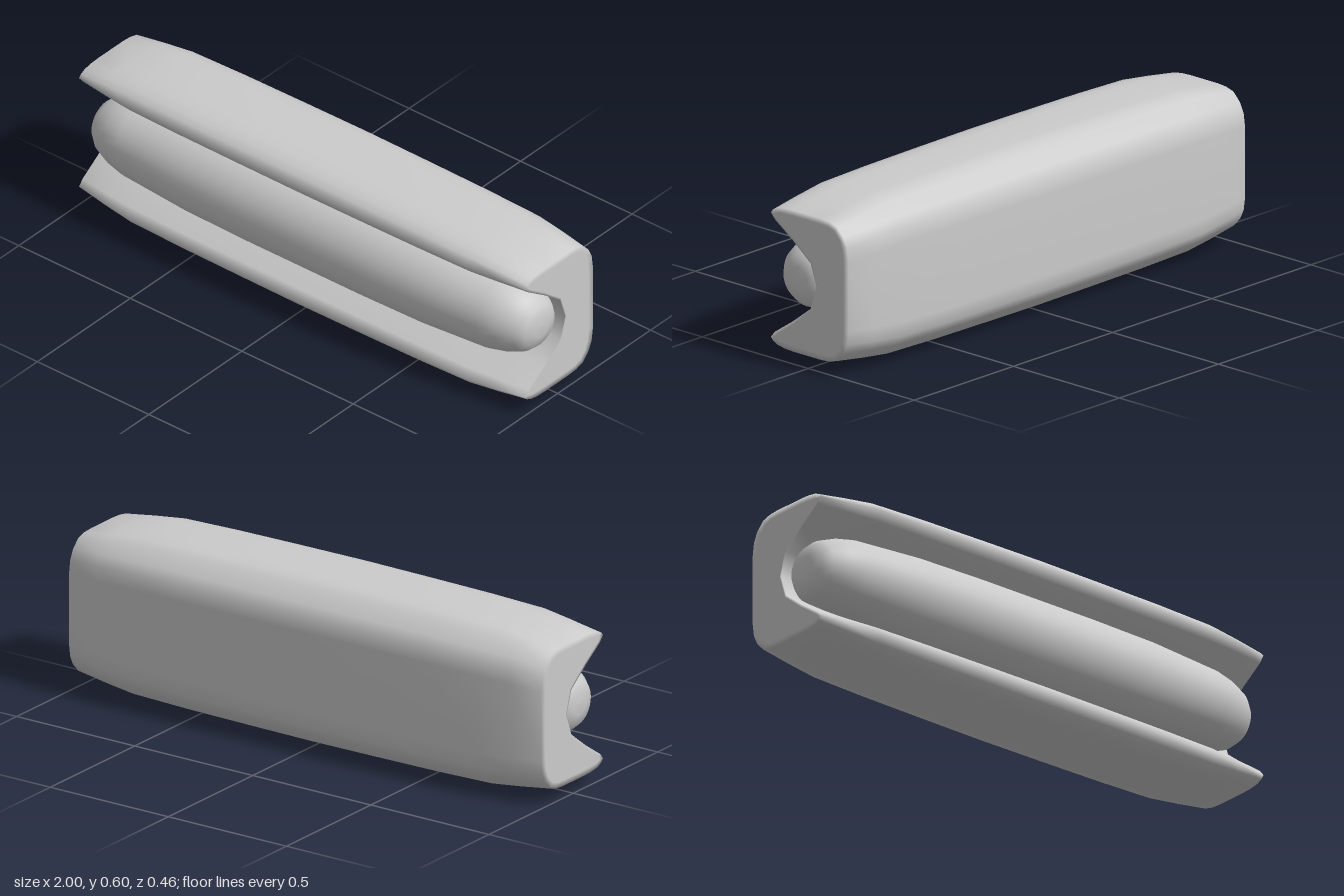
import * as THREE from 'three';

const MID_Y = 0.303;

// Upper halves of the bun section as [z, y]: notch floor, notch wall, lip tip, crown, back
const middle = [[-0.04, MID_Y], [-0.01, 0.385], [0.09, 0.45], [0.195, 0.505], [0.22, 0.54], [0.195, 0.57],
  [0.17, 0.588], [0.13, 0.6], [0.08, 0.605], [-0.07, 0.605], [-0.11, 0.6], [-0.15, 0.585],
  [-0.2, 0.54], [-0.223, 0.505], [-0.23, 0.45]];
const end = [[-0.04, MID_Y], [-0.012, 0.385], [0.072, 0.45], [0.158, 0.508], [0.176, 0.53], [0.165, 0.542],
  [0.145, 0.552], [0.11, 0.558], [0.07, 0.56], [-0.06, 0.56], [-0.1, 0.557], [-0.135, 0.547],
  [-0.166, 0.515], [-0.183, 0.48], [-0.19, 0.43]];
const inset = [[-0.046, MID_Y], [-0.018, 0.39], [0.066, 0.457], [0.148, 0.514], [0.158, 0.526], [0.15, 0.532],
  [0.135, 0.536], [0.105, 0.538], [0.07, 0.539], [-0.06, 0.539], [-0.095, 0.537], [-0.122, 0.528],
  [-0.146, 0.503], [-0.16, 0.47], [-0.165, 0.43]];

// Mirror a half section into a closed loop
function closeLoop(half) {
  const lower = half.slice(1).reverse().map(([z, y]) => [z, 2 * MID_Y - y]);
  return [...half, ...lower];
}

function blend(a, b, t) {
  return a.map(([z, y], i) => [z + (b[i][0] - z) * t, y + (b[i][1] - y) * t]);
}

// Bun: sections lofted along x, each end closed by a flat face
function bunGeometry() {
  const taper = [[0, 0], [0.27, 0.04], [0.53, 0.1], [0.76, 0.23], [0.88, 0.58], [1, 1]];
  const half = taper.map(([x, t]) => ({ x, loop: closeLoop(blend(middle, end, t)) }));
  half.push({ x: 1, loop: closeLoop(inset) });
  const rings = [...half.slice(1).reverse().map(({ x, loop }) => ({ x: -x, loop })), ...half];

  const positions = [];
  const indices = [];
  const n = rings[0].loop.length;
  for (const { x, loop } of rings) for (const [z, y] of loop) positions.push(x, y, z);
  for (let r = 0; r < rings.length - 1; r++) {
    for (let j = 0; j < n; j++) {
      const k = (j + 1) % n;
      const a = r * n + j, b = r * n + k, c = a + n, d = b + n;
      indices.push(a, c, b, b, c, d);
    }
  }
  const contour = closeLoop(inset).map(([z, y]) => new THREE.Vector2(z, y));
  const last = (rings.length - 1) * n;
  for (const [a, b, c] of THREE.ShapeUtils.triangulateShape(contour, [])) {
    indices.push(a, b, c, last + a, last + c, last + b);
  }
  const geometry = new THREE.BufferGeometry();
  geometry.setAttribute('position', new THREE.Float32BufferAttribute(positions, 3));
  geometry.setIndex(indices);
  geometry.computeVertexNormals();
  return geometry;
}

// Sausage: a rounded, slightly tapering lathe laid along x
function sausageGeometry() {
  const side = [[0.168, 0], [0.168, 0.25], [0.164, 0.53], [0.147, 0.81], [0.132, 0.88],
    [0.108, 0.94], [0.08, 0.972], [0.04, 0.981], [0, 0.983]];
  const profile = [...side.slice(1).reverse().map(([r, h]) => [r, -h]), ...side];
  const geometry = new THREE.LatheGeometry(profile.map(([r, h]) => new THREE.Vector2(r, h)), 36);
  return geometry.rotateZ(-Math.PI / 2);
}

export function createModel() {
  const group = new THREE.Group();
  const material = new THREE.MeshStandardMaterial({ color: 0xcccccc });

  const bun = new THREE.Mesh(bunGeometry(), material);
  bun.name = 'bun';

  const sausage = new THREE.Mesh(sausageGeometry(), material);
  sausage.name = 'sausage';
  sausage.position.set(0, 0.306, 0.063);

  group.add(bun, sausage);
  return group;
}
